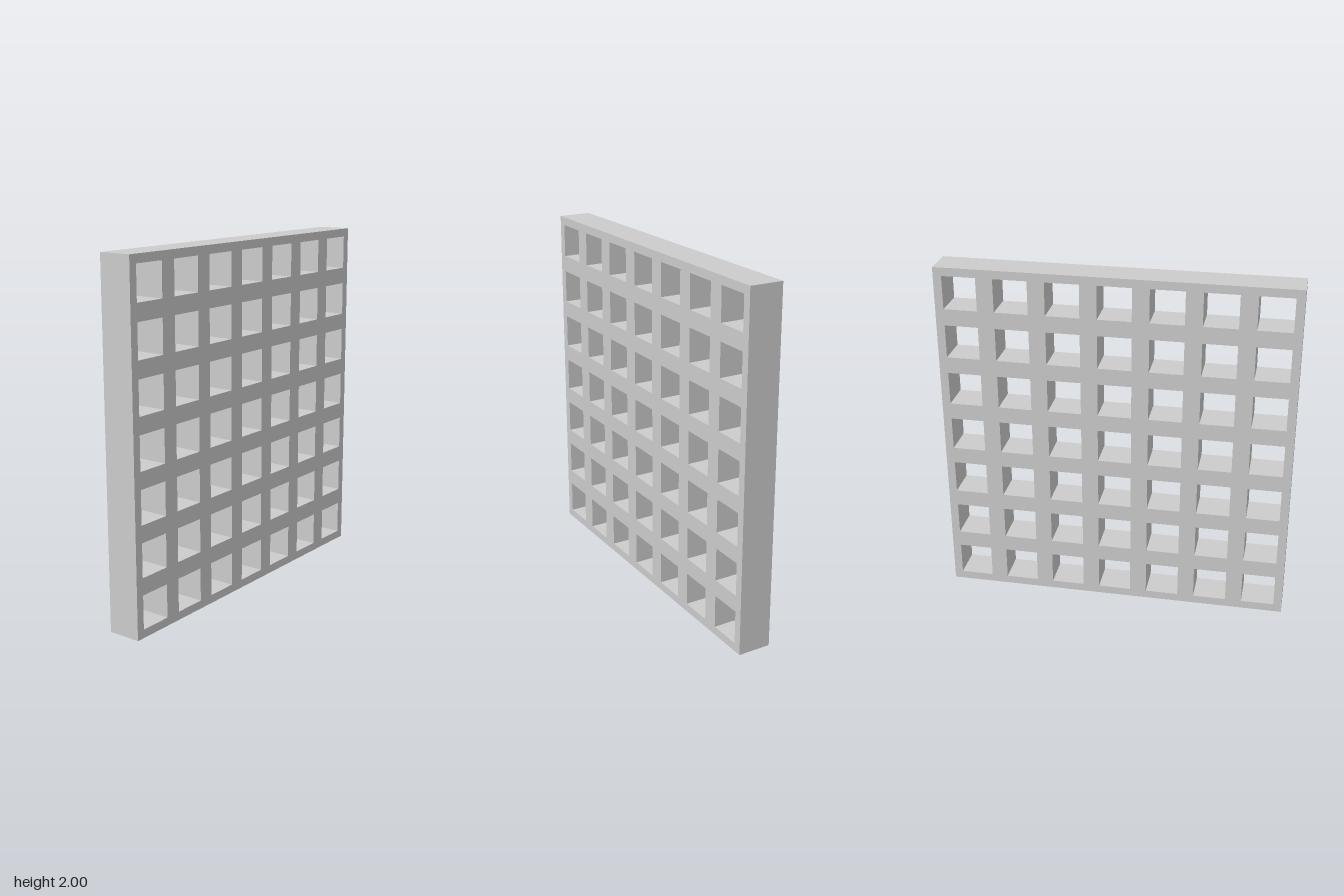
import * as THREE from 'three';

const SIZE = 2;
const CELLS = 7;
const PITCH = SIZE / CELLS;
const HOLE = PITCH * 2 / 3;
const DEPTH = HOLE;

// Square outline centred on (cx, cy)
function square(Type, cx, cy, side) {
  const h = side / 2;
  return new Type([[-h, -h], [h, -h], [h, h], [-h, h]]
    .map(([x, y]) => new THREE.Vector2(cx + x, cy + y)));
}

export function createModel() {
  const group = new THREE.Group();
  group.name = 'latticePanel';

  // Square panel pierced by a regular grid of square openings
  const outline = square(THREE.Shape, 0, SIZE / 2, SIZE);
  for (let row = 0; row < CELLS; row++) {
    for (let col = 0; col < CELLS; col++) {
      const x = (col + 0.5) * PITCH - SIZE / 2;
      const y = (row + 0.5) * PITCH;
      outline.holes.push(square(THREE.Path, x, y, HOLE));
    }
  }

  // Extrude through the thickness, then turn the faces towards ±x
  const geometry = new THREE.ExtrudeGeometry(outline, { depth: DEPTH, bevelEnabled: false });
  geometry.translate(0, 0, -DEPTH / 2);
  geometry.rotateY(Math.PI / 2);

  const lattice = new THREE.Mesh(
    geometry,
    new THREE.MeshStandardMaterial({ color: 0xcccccc, flatShading: true })
  );
  lattice.name = 'lattice';
  group.add(lattice);
  return group;
}
